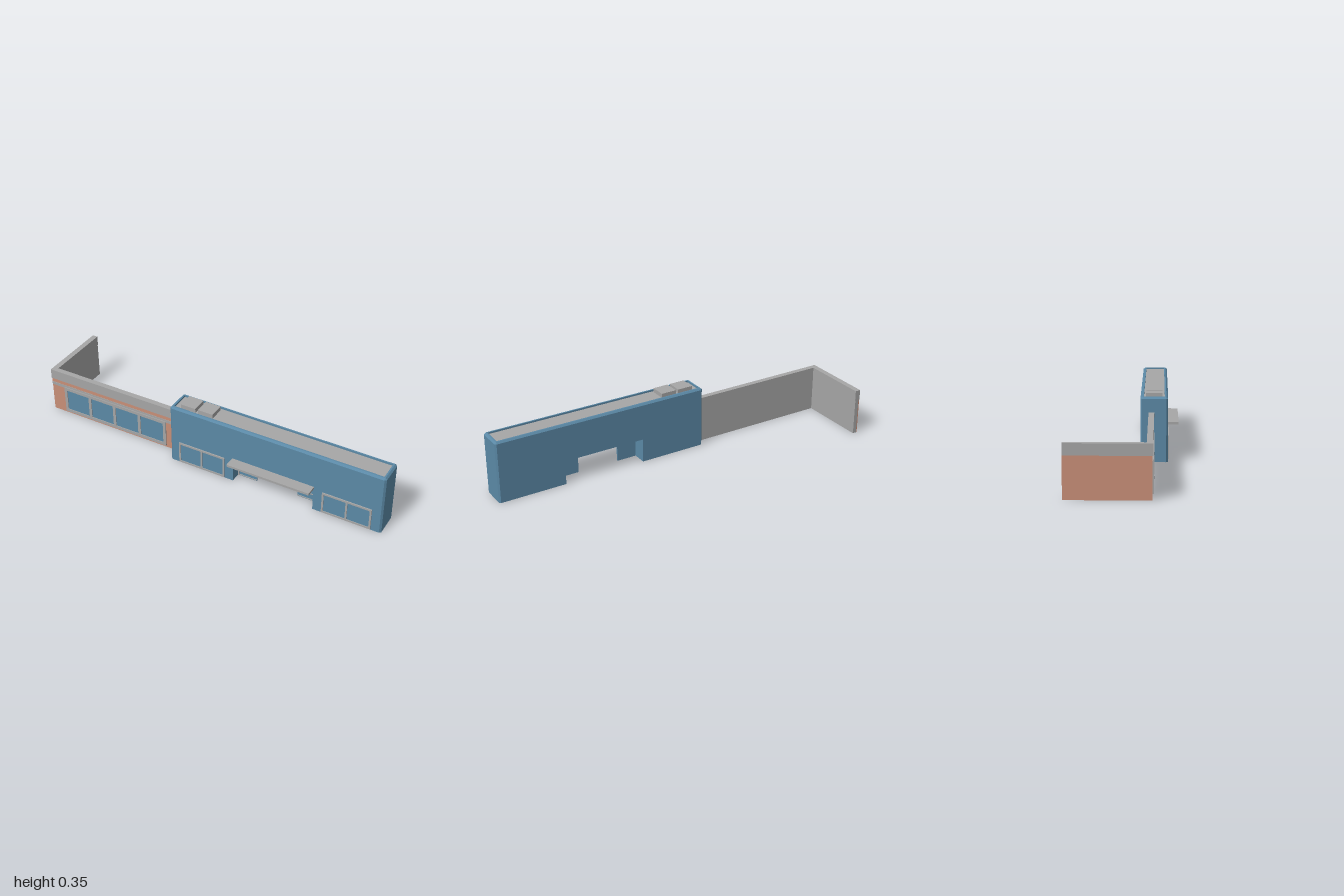
import * as THREE from 'three';

const mat = (name, color) => Object.assign(new THREE.MeshStandardMaterial({ color }), { name });

export function createModel() {
  const blue = mat('blue', 0x5b89a6);
  blue.side = THREE.DoubleSide;
  const grey = mat('grey', 0xa6a6a6);
  const brick = mat('brick', 0xc98f78);

  const model = new THREE.Group();
  model.name = 'storefront';

  const group = (name) => {
    const g = new THREE.Group();
    g.name = name;
    model.add(g);
    return g;
  };
  const add = (parent, name, geometry, material) => {
    const m = new THREE.Mesh(geometry, material);
    m.name = name;
    parent.add(m);
    return m;
  };
  // box given by its limits
  const box = (parent, name, material, x0, x1, y0, y1, z0, z1) => {
    const g = new THREE.BoxGeometry(x1 - x0, y1 - y0, z1 - z0);
    g.translate((x0 + x1) / 2, (y0 + y1) / 2, (z0 + z1) / 2);
    return add(parent, name, g, material);
  };
  // flat faces, each a convex loop of corners
  const faces = (loops) => {
    const pos = [];
    for (const l of loops)
      for (let i = 1; i < l.length - 1; i++) pos.push(...l[0], ...l[i], ...l[i + 1]);
    const g = new THREE.BufferGeometry();
    g.setAttribute('position', new THREE.Float32BufferAttribute(pos, 3));
    g.computeVertexNormals();
    return g;
  };

  // ---- Main hall: open-bottomed shell with bevelled edges and a passage ----
  const hall = group('mainHall');
  const X0 = -0.195, X1 = 0.992, Z0 = 0.065, Z1 = 0.205, C = 0.009;
  const P0 = 0.175, P1 = 0.625, PH = 0.13, EAVE = 0.325, TOP = 0.334;

  const ring = (y, d, c) => {
    const a = X0 + d, b = X1 - d, k = Z0 + d, f = Z1 - d;
    return [[a + c, f], [b - c, f], [b, f - c], [b, k + c],
      [b - c, k], [a + c, k], [a, k + c], [a, f - c]].map(([x, z]) => [x, y, z]);
  };
  const band = (lo, hi, skip = []) => lo.map((p, i) => {
    const j = (i + 1) % lo.length;
    return skip.includes(i) ? [] : [p, lo[j], hi[j], hi[i]];
  });
  const base = ring(0, 0, C), eave = ring(EAVE, 0, C);
  const rimOut = ring(TOP, C, 0.003), rimIn = ring(TOP, 0.017, 0.001), roof = ring(EAVE, 0.017, 0.001);
  add(hall, 'endWallsAndRim', faces([
    ...band(base, eave, [0, 4]), ...band(eave, rimOut), ...band(rimOut, rimIn), ...band(rimIn, roof),
  ]), blue);
  add(hall, 'flatRoof', faces([roof]), grey);

  const wall = new THREE.Shape([
    [X0 + C, 0], [P0, 0], [P0, PH], [P1, PH], [P1, 0], [X1 - C, 0], [X1 - C, EAVE], [X0 + C, EAVE],
  ].map(([x, y]) => new THREE.Vector2(x, y)));
  add(hall, 'frontWall', new THREE.ShapeGeometry(wall).translate(0, 0, Z1), blue);
  // turned around so that its outside faces the rear
  const back = new THREE.ShapeGeometry(wall).translate(-(X0 + X1) / 2, 0, 0);
  back.rotateY(Math.PI).translate((X0 + X1) / 2, 0, Z0);
  const bp = back.attributes.position;
  const shift = P0 + P1 - (X0 + X1);
  for (let i = 0; i < bp.count; i++) // keep the passage lined up with the front
    if (bp.getX(i) > X0 + 0.1 && bp.getX(i) < X1 - 0.1) bp.setX(i, bp.getX(i) + shift);
  add(hall, 'backWall', back, blue);
  add(hall, 'passageLining', faces([
    [[P0, 0, Z1], [P0, 0, Z0], [P0, PH, Z0], [P0, PH, Z1]],
    [[P1, 0, Z0], [P1, 0, Z1], [P1, PH, Z1], [P1, PH, Z0]],
    [[P0, PH, Z1], [P0, PH, Z0], [P1, PH, Z0], [P1, PH, Z1]],
  ]), blue);

  // ---- Framed windows: thin bars around and between blue panes ----
  const framed = (name, x0, x1, y0, y1, z, panes, w, depth) => {
    const g = group(name);
    box(g, 'glass', blue, x0 + w / 2, x1 - w / 2, y0 + w / 2, y1 - w / 2, z, z + depth * 0.4);
    box(g, 'sill', grey, x0, x1, y0, y0 + w, z, z + depth);
    box(g, 'head', grey, x0, x1, y1 - w, y1, z, z + depth);
    for (let i = 0; i <= panes; i++) {
      const x = x0 + w / 2 + (x1 - x0 - w) * i / panes;
      box(g, 'mullion', grey, x - w / 2, x + w / 2, y0 + w, y1 - w, z, z + depth);
    }
    return g;
  };
  framed('hallWindowRight', -0.142, 0.126, 0.005, 0.127, Z1, 2, 0.01, 0.006);
  framed('hallWindowLeft', 0.674, 0.938, 0.005, 0.127, Z1, 2, 0.01, 0.006);

  // ---- Passage: glazed side screens set back, canopy in front ----
  for (const [name, x0, x1, edge] of [['screenRight', P0, 0.285, P0], ['screenLeft', 0.515, P1, P1 - 0.008]]) {
    const g = group(name);
    box(g, 'glass', blue, x0, x1, 0, PH, 0.143, 0.15);
    box(g, 'post', grey, edge, edge + 0.008, 0, PH, 0.15, 0.153);
    for (const y of [0.004, 0.04, 0.122]) box(g, 'rail', grey, x0, x1, y, y + 0.005, 0.15, 0.153);
  }
  box(model, 'canopy', grey, 0.17, 0.628, 0.13, 0.142, Z1 - 0.003, 0.265);

  // ---- Roof units ----
  for (const x of [-0.145, -0.045]) box(model, 'roofUnit', grey, x, x + 0.085, EAVE, 0.348, 0.093, 0.177);

  // ---- Low wing: grey walls, brick facing outside, parapet on top ----
  const wing = group('lowWing');
  const WZ = 0.132, BACK = -0.265;
  box(wing, 'frontWallCore', grey, -0.993, X0, 0, 0.2, 0.108, WZ - 0.005);
  box(wing, 'sideWallCore', grey, -0.993, -0.972, 0, 0.2, BACK, 0.108);
  box(wing, 'frontBrick', brick, -0.998, X0, 0, 0.2, WZ - 0.005, WZ);
  box(wing, 'sideBrick', brick, -0.998, -0.993, 0, 0.2, BACK, WZ - 0.005);
  box(wing, 'trimBand', grey, -0.998, X0, 0.16, 0.178, WZ, WZ + 0.002);
  box(wing, 'frontParapet', grey, -1, X0, 0.2, 0.255, 0.106, WZ + 0.003);
  box(wing, 'sideParapet', grey, -1, -0.97, 0.2, 0.255, BACK, 0.106);
  framed('wingWindows', -0.917, -0.268, 0.01, 0.166, WZ, 4, 0.017, 0.006);

  return model;
}
